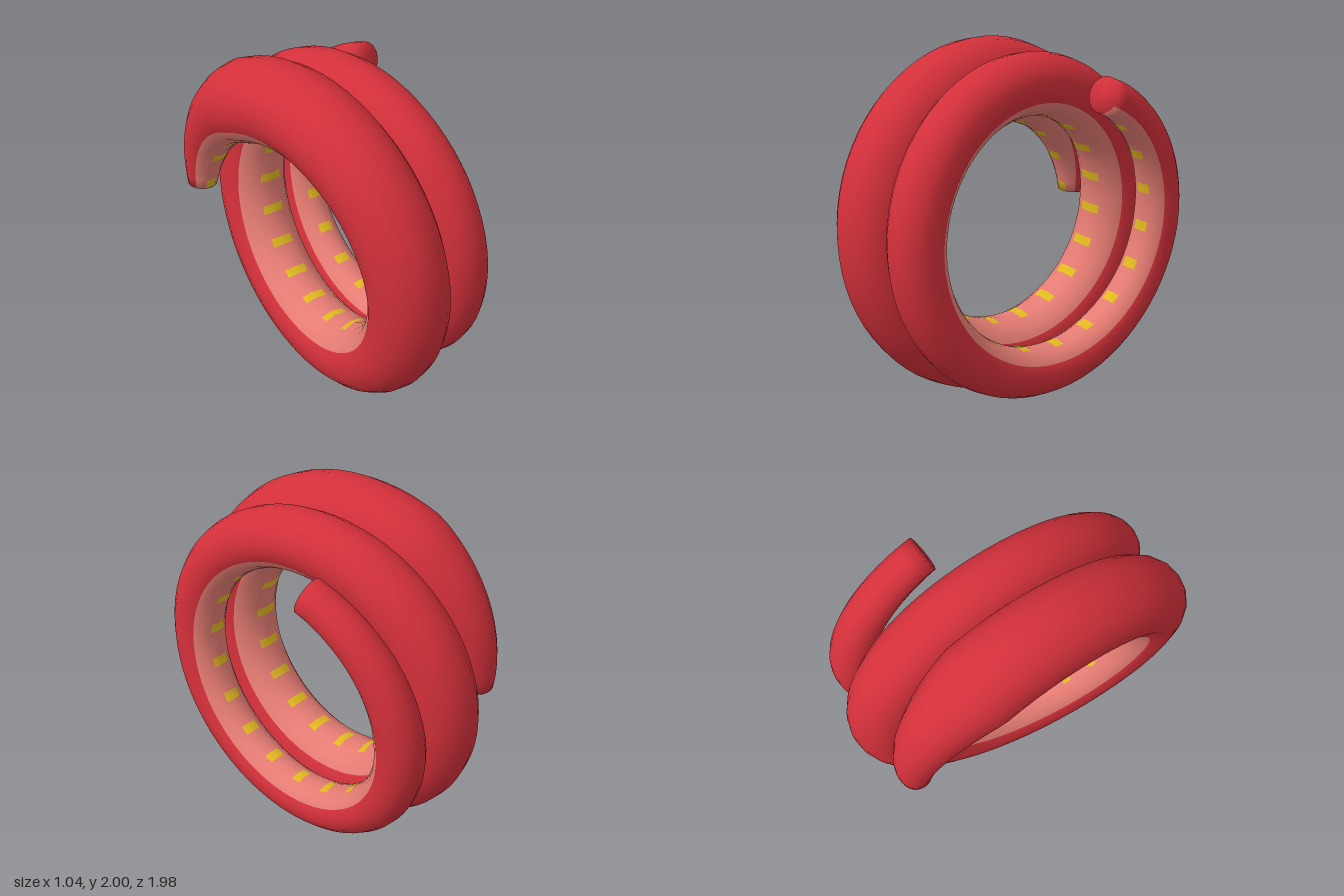
import * as THREE from 'three';

const red = new THREE.MeshStandardMaterial({ color: 0xd3303a });
red.name = 'red skin';
const pink = new THREE.MeshStandardMaterial({ color: 0xe57c73 });
pink.name = 'pink belly';
const yellow = new THREE.MeshStandardMaterial({ color: 0xe0b81f });
yellow.name = 'yellow marks';

const COIL_RADIUS = 0.785, CENTRE_Y = 0.99, PITCH = 0.356;
const START = -90, END = 701.3; // degrees turned from the top towards the front
const RINGS = 160, SIDES = 18;

// Body thickness along the coil: [degrees, radius]
const THICKNESS = [
  [-90, 0.085], [-27, 0.228], [0, 0.225], [90, 0.208], [180, 0.203], [270, 0.198],
  [360, 0.17], [450, 0.148], [540, 0.14], [630, 0.13], [701.3, 0.1],
];

function thicknessAt(deg) {
  let k = 0;
  while (k < THICKNESS.length - 2 && deg > THICKNESS[k + 1][0]) k++;
  const [d0, r0] = THICKNESS[k], [d1, r1] = THICKNESS[k + 1];
  return THREE.MathUtils.mapLinear(deg, d0, d1, r0, r1);
}

function coilGeometry() {
  const positions = [];
  const faces = [[], [], []]; // skin, belly, marks
  const centre = new THREE.Vector3(), radial = new THREE.Vector3();
  const tangent = new THREE.Vector3(), side = new THREE.Vector3(), p = new THREE.Vector3();

  const placeFrame = (deg) => {
    const t = THREE.MathUtils.degToRad(deg), c = Math.cos(t), s = Math.sin(t);
    centre.set(-0.275 + PITCH * deg / 360, CENTRE_Y + COIL_RADIUS * c, COIL_RADIUS * s);
    radial.set(0, c, s);
    tangent.set(PITCH / (2 * Math.PI), -COIL_RADIUS * s, COIL_RADIUS * c).normalize();
    side.crossVectors(tangent, radial);
  };

  // Cross-sections square to the helix
  for (let i = 0; i <= RINGS; i++) {
    const deg = START + (END - START) * i / RINGS;
    const r = thicknessAt(deg);
    placeFrame(deg);
    for (let j = 0; j < SIDES; j++) {
      const a = j / SIDES * Math.PI * 2;
      p.copy(centre).addScaledVector(radial, r * Math.cos(a)).addScaledVector(side, r * Math.sin(a));
      positions.push(p.x, p.y, p.z);
    }
  }

  // Body faces: the inner third is belly, with a mark on every fourth segment
  const index = (i, j) => i * SIDES + j % SIDES;
  for (let i = 0; i < RINGS; i++) {
    for (let j = 0; j < SIDES; j++) {
      const fromInside = Math.abs(j + 0.5 - SIDES / 2);
      const kind = fromInside < 1 && i % 4 === 0 ? 2 : fromInside < 3 ? 1 : 0;
      const a = index(i, j), b = index(i, j + 1), c = index(i + 1, j + 1), d = index(i + 1, j);
      faces[kind].push(a, b, c, a, c, d);
    }
  }

  // Flat ends
  for (const [deg, ring] of [[START, 0], [END, RINGS]]) {
    placeFrame(deg);
    const hub = positions.length / 3;
    positions.push(centre.x, centre.y, centre.z);
    for (let j = 0; j < SIDES; j++) {
      const a = index(ring, j), b = index(ring, j + 1);
      faces[0].push(hub, ...(ring ? [a, b] : [b, a]));
    }
  }

  const geometry = new THREE.BufferGeometry();
  geometry.setAttribute('position', new THREE.Float32BufferAttribute(positions, 3));
  geometry.setIndex(faces.flat());
  let offset = 0;
  faces.forEach((list, k) => {
    geometry.addGroup(offset, list.length, k);
    offset += list.length;
  });
  geometry.computeVertexNormals();
  return geometry;
}

export function createModel() {
  const model = new THREE.Group();
  model.name = 'coiledTentacle';
  const body = new THREE.Mesh(coilGeometry(), [red, pink, yellow]);
  body.name = 'coiledBody';
  model.add(body);
  return model;
}
